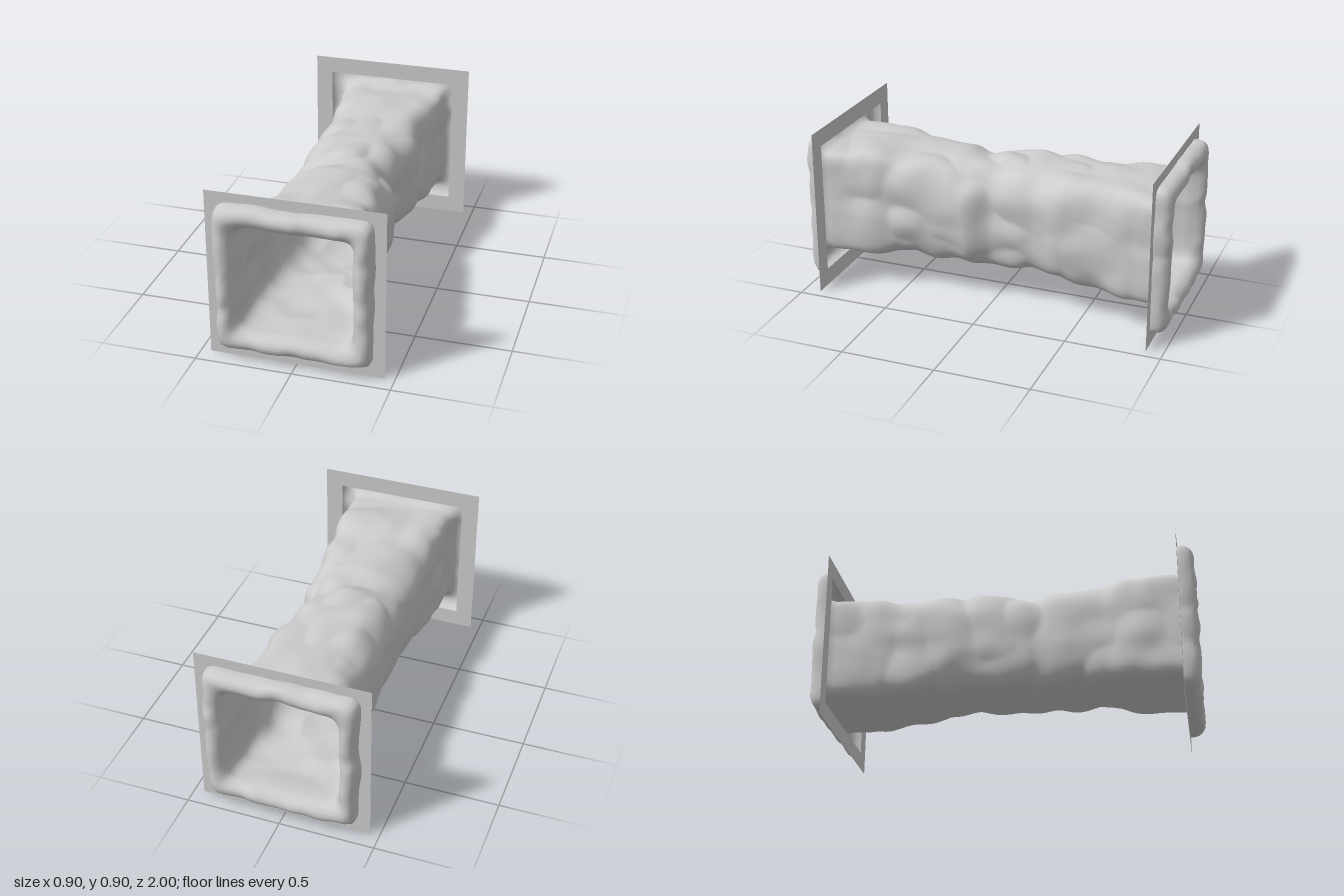
import * as THREE from 'three';

const CY = 0.455;   // height of the tunnel axis
const SEG = 128;    // points around each cross-section
const PLATE_Z = 0.91;

// Tunnel walls along its length: z, left edge x-, right edge x+, floor y, roof y, corner squareness
const WALLS = [
  [0.91, -0.292, 0.300, 0.168, 0.745, 10],
  [0.65, -0.293, 0.298, 0.172, 0.770, 6],
  [0.50, -0.280, 0.290, 0.176, 0.755, 4.2],
  [0.25, -0.270, 0.290, 0.174, 0.748, 3.4],
  [0.15, -0.262, 0.290, 0.164, 0.733, 3.2],
  [0.00, -0.275, 0.225, 0.172, 0.748, 3.2],
  [-0.20, -0.275, 0.242, 0.172, 0.752, 3.4],
  [-0.40, -0.285, 0.297, 0.178, 0.752, 3.8],
  [-0.55, -0.285, 0.272, 0.165, 0.752, 4.2],
  [-0.75, -0.290, 0.295, 0.150, 0.748, 6],
  [-0.91, -0.292, 0.300, 0.168, 0.738, 10],
];

// Rolled lip profile: distance along z, half width
const LIP = [
  [0.91, 0.392], [0.925, 0.393], [0.945, 0.391], [0.963, 0.387], [0.979, 0.377], [0.988, 0.364],
  [0.993, 0.348], [0.988, 0.330], [0.975, 0.315], [0.955, 0.304], [0.932, 0.298],
];

const smooth = (t) => t * t * (3 - 2 * t);

function hash(x, y, z) {
  const s = Math.sin(x * 127.1 + y * 311.7 + z * 74.7) * 43758.5453;
  return (s - Math.floor(s)) * 2 - 1;
}

// Smooth value noise in -1..1
function noise(x, y, z) {
  const [i, j, k] = [x, y, z].map(Math.floor);
  const u = smooth(x - i), v = smooth(y - j), w = smooth(z - k);
  const mix = THREE.MathUtils.lerp;
  const edge = (b, c) => mix(hash(i, j + b, k + c), hash(i + 1, j + b, k + c), u);
  return mix(mix(edge(0, 0), edge(1, 0), v), mix(edge(0, 1), edge(1, 1), v), w);
}

function wallsAt(z) {
  let i = 0;
  while (i < WALLS.length - 2 && z < WALLS[i + 1][0]) i++;
  const a = WALLS[i], b = WALLS[i + 1];
  const t = smooth((a[0] - z) / (a[0] - b[0]));
  return a.slice(1).map((v, k) => THREE.MathUtils.lerp(v, b[k + 1], t));
}

// One rounded-square cross-section; corners are cut unevenly and the wall is broken into broad facets
function ring(z, [left, right, floor, roof, squareness], rough, zRough) {
  const points = [];
  for (let j = 0; j < SEG; j++) {
    const t = (j / SEG) * Math.PI * 2;
    const c = Math.cos(t), s = Math.sin(t);
    const n = squareness * (1 + 0.3 * noise(c * 1.3 + 11, s * 1.3 + 4, z * 4));
    const r = 1 / Math.pow(Math.abs(c) ** n + Math.abs(s) ** n, 1 / n);
    const x = (left + right) / 2 + c * r * (right - left) / 2;
    const y = (floor + roof) / 2 + s * r * (roof - floor) / 2;
    const facet = 1.6 * (Math.abs(noise(x * 5 + 20, y * 5 + 7, z * 5 + x * 2)) - 0.3);
    const chip = 0.4 * noise(x * 10 + 5, y * 10, z * 9 + 3);
    const d = rough * (facet + chip);
    points.push(x + c * d, y + s * d, z + zRough * noise(x * 14, y * 14, z * 3 + 40));
  }
  return points;
}

// The whole rock shell: front lip, tunnel, back lip
function shellGeometry() {
  const rings = [];
  const lipRing = (side, [z, h]) => {
    const inner = THREE.MathUtils.clamp((0.39 - h) / 0.09, 0, 1);
    return ring(side * z, [-h, h, CY - h + 0.012 * inner, CY + h - 0.010 * inner, 18 - 8 * inner],
      0.010, z > 0.95 ? 0.007 : 0);
  };
  LIP.forEach((p) => rings.push(lipRing(1, p)));
  const rows = 110;
  for (let i = 0; i <= rows; i++) {
    const z = PLATE_Z * (1 - (2 * i) / rows);
    const rough = 0.010 + 0.010 * smooth(Math.min(1, (PLATE_Z - Math.abs(z)) / 0.2));
    rings.push(ring(z, wallsAt(z), rough, 0));
  }
  [...LIP].reverse().forEach((p) => rings.push(lipRing(-1, p)));

  const index = [];
  for (let i = 0; i < rings.length - 1; i++) {
    for (let j = 0; j < SEG; j++) {
      const k = (j + 1) % SEG;
      const a = i * SEG + j, b = i * SEG + k, c = a + SEG, d = b + SEG;
      index.push(a, c, b, b, c, d);
    }
  }
  const geometry = new THREE.BufferGeometry();
  geometry.setAttribute('position', new THREE.Float32BufferAttribute(rings.flat(), 3));
  geometry.setIndex(index);
  geometry.computeVertexNormals();
  return geometry;
}

// Flat square sheet with a square opening
function plateGeometry() {
  const square = (path, h) => path.moveTo(-h, -h).lineTo(h, -h).lineTo(h, h).lineTo(-h, h).closePath();
  const shape = new THREE.Shape();
  square(shape, 0.45);
  const hole = new THREE.Path();
  square(hole, 0.357);
  shape.holes.push(hole);
  return new THREE.ShapeGeometry(shape);
}

export function createModel() {
  const group = new THREE.Group();
  group.name = 'rockTunnel';
  const material = new THREE.MeshStandardMaterial({ color: 0xcccccc, side: THREE.DoubleSide });

  const shell = new THREE.Mesh(shellGeometry(), material);
  shell.name = 'tunnelShell';
  group.add(shell);

  // Wall plates at both mouths, each facing outward
  for (const side of [1, -1]) {
    const plate = new THREE.Mesh(plateGeometry(), material);
    plate.name = side > 0 ? 'frontPlate' : 'backPlate';
    plate.position.set(0, 0.45, side * PLATE_Z);
    if (side < 0) plate.rotation.y = Math.PI;
    group.add(plate);
  }
  return group;
}
